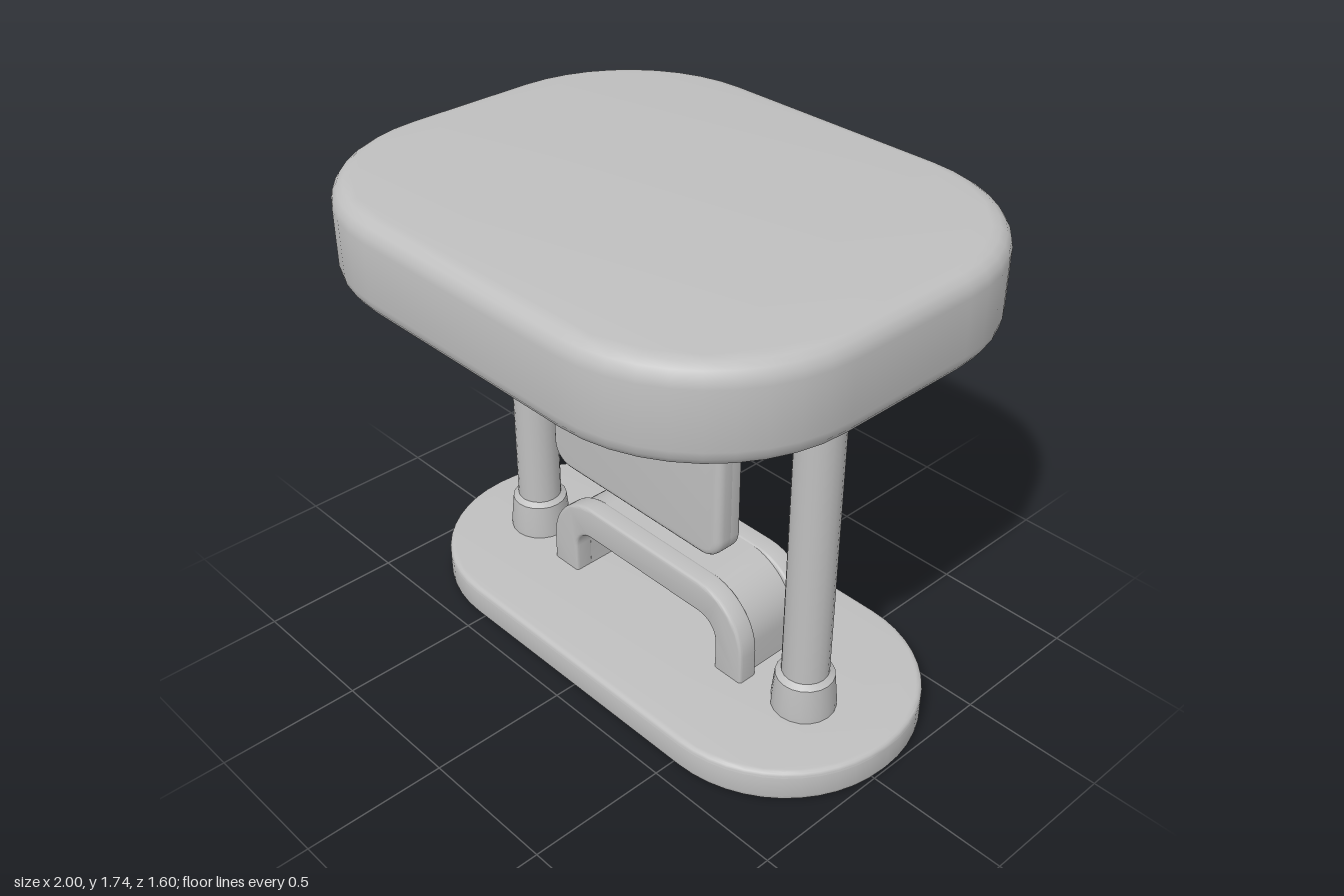
import * as THREE from 'three';
import { toCreasedNormals } from 'three/addons/utils/BufferGeometryUtils.js';

// Rounded rectangle centred on (cx, cy)
function roundedRect(w, h, r, cx = 0, cy = 0, Type = THREE.Shape) {
  const s = new Type();
  const x = w / 2 - r, y = h / 2 - r;
  s.moveTo(cx - x, cy - h / 2);
  s.lineTo(cx + x, cy - h / 2);
  s.absarc(cx + x, cy - y, r, -Math.PI / 2, 0);
  s.absarc(cx + x, cy + y, r, 0, Math.PI / 2);
  s.absarc(cx - x, cy + y, r, Math.PI / 2, Math.PI);
  s.absarc(cx - x, cy - y, r, Math.PI, Math.PI * 1.5);
  return s;
}

// Extrude a shape from z0 to z1 with a soft bevel kept inside the outline
function slab(shape, z0, z1, bevel, curveSegments = 5) {
  const g = new THREE.ExtrudeGeometry(shape, {
    depth: z1 - z0 - 2 * bevel, curveSegments,
    bevelEnabled: bevel > 0, bevelSize: bevel, bevelThickness: bevel,
    bevelOffset: -bevel, bevelSegments: 4,
  });
  g.translate(0, 0, z0 + bevel);
  return toCreasedNormals(g, 0.5);
}

// Bench outline: flat seat with rounded shoulders and two legs
function archShape(halfW, top, thick, rOut, rIn) {
  const s = new THREE.Shape();
  const xi = halfW - thick, yi = top - thick, foot = 0.11;
  s.moveTo(halfW, foot);
  s.lineTo(halfW, top - rOut);
  s.absarc(halfW - rOut, top - rOut, rOut, 0, Math.PI / 2);
  s.lineTo(-halfW + rOut, top);
  s.absarc(-halfW + rOut, top - rOut, rOut, Math.PI / 2, Math.PI);
  s.lineTo(-halfW, foot);
  s.lineTo(-xi, foot);
  s.lineTo(-xi, yi - rIn);
  s.absarc(-xi + rIn, yi - rIn, rIn, Math.PI, Math.PI / 2, true);
  s.lineTo(xi - rIn, yi);
  s.absarc(xi - rIn, yi - rIn, rIn, Math.PI / 2, 0, true);
  s.lineTo(xi, foot);
  s.closePath();
  return s;
}

export function createModel() {
  const model = new THREE.Group();
  model.name = 'busShelter';
  const grey = new THREE.MeshStandardMaterial({ color: 0xbfbfbf });
  grey.name = 'plain grey';

  const add = (name, geometry, parent = model) => {
    const mesh = new THREE.Mesh(geometry, grey);
    mesh.name = name;
    parent.add(mesh);
    return mesh;
  };
  const group = (name) => {
    const g = new THREE.Group();
    g.name = name;
    model.add(g);
    return g;
  };

  // Base plate and roof lie flat
  const base = slab(roundedRect(2, 0.96, 0.47), 0, 0.12, 0.02, 6);
  base.rotateX(-Math.PI / 2).translate(0, 0, -0.05);
  add('base', base);
  const roof = slab(roundedRect(1.975, 1.595, 0.56), 1.42, 1.74, 0.065, 5);
  roof.rotateX(-Math.PI / 2);
  add('roof', roof);

  // Posts with a flared collar at each end
  const profile = [
    [0.11, 0.11], [0.11, 0.15], [0.1, 0.25], [0.08, 0.265],
    [0.08, 1.275], [0.098, 1.29], [0.11, 1.4], [0.11, 1.43],
  ].map(([r, y]) => new THREE.Vector2(r, y));
  const post = toCreasedNormals(new THREE.LatheGeometry(profile, 20), 0.5);
  for (const [side, name] of [[1, 'leftPost'], [-1, 'rightPost']]) {
    add(name, post).position.x = side * 0.68;
  }

  // Bench: front and rear arches around a slightly inset middle
  const bench = group('bench');
  const arch = archShape(0.48, 0.435, 0.125, 0.21, 0.08);
  add('benchFrontArch', slab(arch, 0.02, 0.097, 0.012), bench);
  add('benchRearArch', slab(arch, -0.258, -0.18, 0.012), bench);
  add('benchMiddle', slab(archShape(0.455, 0.432, 0.1, 0.2, 0.06), -0.19, 0.03, 0), bench);

  // Sign panel with a raised rim on the back
  const sign = group('sign');
  const cy = 0.928;
  add('signPanel', slab(roundedRect(0.82, 0.635, 0.085, 0, cy), 0.065, 0.143, 0.025), sign);
  const rim = roundedRect(0.82, 0.635, 0.085, 0, cy);
  rim.holes.push(roundedRect(0.74, 0.555, 0.05, 0, cy, THREE.Path));
  add('signRim', slab(rim, 0.045, 0.1, 0.012), sign);

  // Raised arrow pointing towards the bus symbol
  const arrow = new THREE.Shape([
    [0.23, 0.94], [0.11, 0.94], [0.11, 0.895], [0.0, 0.97],
    [0.11, 1.045], [0.11, 1.0], [0.23, 1.0],
  ].map(([x, y]) => new THREE.Vector2(x, y)));
  add('signArrow', slab(arrow, 0.05, 0.07, 0.004), sign);

  // Raised bus symbol: outline, bumper, mirrors, lamps and wheels
  const bx = -0.18;
  const plate = (name, w, h, r, x, y) =>
    add(name, slab(roundedRect(w, h, r, x, y), 0.05, 0.07, 0.004, 3), sign);
  const body = roundedRect(0.2, 0.3, 0.04, bx, 0.99);
  body.holes.push(roundedRect(0.155, 0.13, 0.015, bx, 1.02, THREE.Path));
  body.holes.push(roundedRect(0.155, 0.06, 0.01, bx, 0.9, THREE.Path));
  add('busOutline', slab(body, 0.05, 0.07, 0.004, 3), sign);
  plate('busBumper', 0.23, 0.03, 0.01, bx, 0.845);
  for (const s of [-1, 1]) {
    plate('busMirror', 0.02, 0.08, 0.008, bx + s * 0.118, 1.03);
    plate('busLamp', 0.03, 0.03, 0.012, bx + s * 0.05, 0.9);
    plate('busWheel', 0.04, 0.06, 0.014, bx + s * 0.07, 0.81);
  }

  return model;
}
